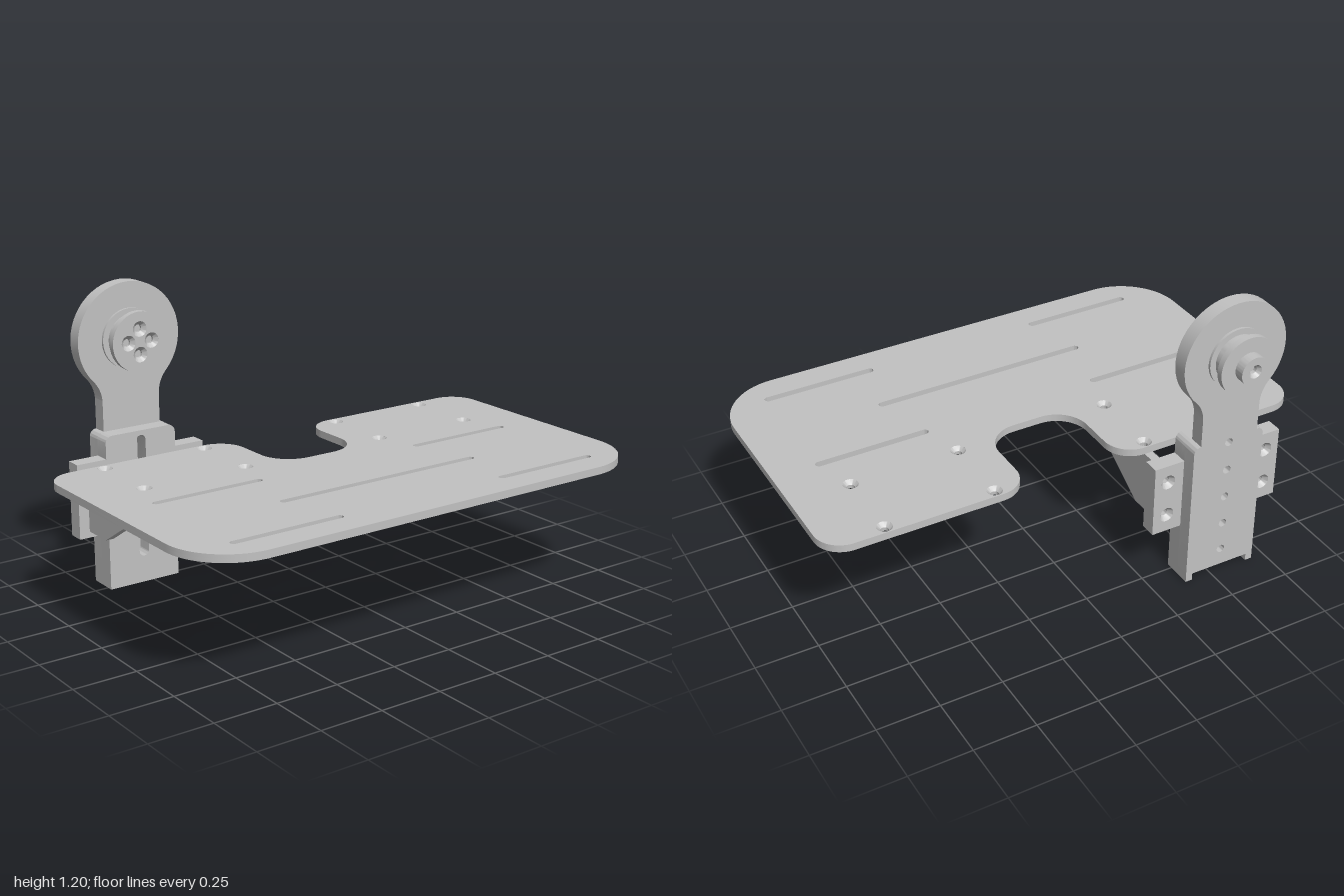
import * as THREE from 'three';
import { toCreasedNormals } from 'three/addons/utils/BufferGeometryUtils.js';

const grey = new THREE.MeshStandardMaterial({ color: 0xc2c2c2 });
grey.name = 'light grey';

function mesh(name, geometry) {
  const m = new THREE.Mesh(toCreasedNormals(geometry, 0.5), grey);
  m.name = name;
  return m;
}

// Outline from [x, y, cornerRadius] points; rounded corners are right angles.
function outline(points) {
  const shape = new THREE.Shape();
  const n = points.length;
  points.forEach(([x, y, r = 0], i) => {
    const p = new THREE.Vector2(x, y);
    const toward = (q, d) => p.clone().add(new THREE.Vector2(q[0] - x, q[1] - y).setLength(d));
    const before = points[(i + n - 1) % n], after = points[(i + 1) % n];
    const a = toward(before, r), b = toward(after, r);
    if (i === 0) shape.moveTo(a.x, a.y);
    else shape.lineTo(a.x, a.y);
    if (r > 0) {
      const c = toward(before, r * 0.448), d = toward(after, r * 0.448);
      shape.bezierCurveTo(c.x, c.y, d.x, d.y, b.x, b.y);
    }
  });
  shape.closePath();
  return shape;
}

function circle(x, y, r, Type = THREE.Path) {
  const p = new Type();
  p.absarc(x, y, r, 0, Math.PI * 2, false);
  return p;
}

// Slot with round ends, between two points on one axis.
function slot(x0, y0, x1, y1, r) {
  const a = Math.atan2(y1 - y0, x1 - x0), q = Math.PI / 2;
  const p = new THREE.Path();
  p.absarc(x1, y1, r, a - q, a + q, false);
  p.absarc(x0, y0, r, a + q, a + 3 * q, false);
  p.closePath();
  return p;
}

function extrude(shape, depth, z = 0) {
  const g = new THREE.ExtrudeGeometry(shape, { depth, bevelEnabled: false, curveSegments: 20 });
  return g.translate(0, 0, z);
}

function lathe(points) {
  const g = new THREE.LatheGeometry(points.map(([r, z]) => new THREE.Vector2(r, z)), 64);
  return g.rotateX(Math.PI / 2);
}

// Plate lying in xy with screw holes countersunk from its +z face.
function countersunkPlate(name, makeShape, holes, screws, depth, sink, big = 0.03, small = 0.015) {
  const group = new THREE.Group();
  group.name = name;
  const layer = (r, d, z) => {
    const s = makeShape();
    s.holes.push(...holes, ...screws.map(([x, y]) => circle(x, y, r)));
    return extrude(s, d, z);
  };
  group.add(mesh(name + 'Base', layer(small, depth - sink, 0)));
  group.add(mesh(name + 'Face', layer(big, sink, depth - sink)));
  for (const [x, y] of screws) {
    const cone = mesh('countersink', lathe([[big, depth], [small, depth - sink]]));
    cone.position.set(x, y, 0);
    group.add(cone);
  }
  return group;
}

export function createModel() {
  const model = new THREE.Group();
  model.name = 'trayWithPulleyArm';

  // Tray plate with rear notch, slots and screw holes
  const trayShape = () => outline([
    [-1, -0.72, 0.25], [1, -0.72, 0.25], [1, 0.4, 0.11], [0.19, 0.4, 0.11],
    [0.19, 0.03, 0.13], [-0.19, 0.03, 0.13], [-0.19, 0.4, 0.11], [-1, 0.4, 0.11],
  ]);
  const slots = [slot(-0.435, -0.345, 0.435, -0.345, 0.015)];
  const trayScrews = [];
  for (const side of [-1, 1]) {
    for (const y of [-0.095, -0.595]) {
      const xs = [side * 0.375, side * 0.81].sort((a, b) => a - b);
      slots.push(slot(xs[0], y, xs[1], y, 0.015));
    }
    for (const x of [0.32, 0.76])
      for (const y of [0.365, 0.075]) trayScrews.push([side * x, y]);
  }
  const tray = countersunkPlate('tray', trayShape, slots, trayScrews, 0.03, 0.015);
  tray.rotation.x = -Math.PI / 2;
  tray.position.y = 0.51;
  model.add(tray);

  // Support assembly, centred on the arm
  const support = new THREE.Group();
  support.name = 'support';
  support.position.x = -0.54;
  model.add(support);

  // Bracket plate with side wings and adjusting slot
  const bracketShape = () => outline([
    [-0.154, 0], [0.154, 0], [0.154, 0.235], [0.28, 0.235], [0.28, 0.535], [0.154, 0.535],
    [0.154, 0.625, 0.03], [-0.154, 0.625, 0.03], [-0.154, 0.535],
    [-0.28, 0.535], [-0.28, 0.235], [-0.154, 0.235],
  ]);
  const wingScrews = [];
  for (const x of [-0.22, 0.22]) for (const y of [0.31, 0.46]) wingScrews.push([x, y]);
  const bracket = countersunkPlate('bracket', bracketShape,
    [slot(0, 0.13, 0, 0.585, 0.021)], wingScrews, 0.065, 0.02);
  bracket.rotation.y = Math.PI;
  bracket.position.z = -0.475;
  support.add(bracket);

  for (const side of [-1, 1]) {
    // Channel walls that guide the arm
    const wallPoints = [[0.125, 0], [0.154, 0], [0.154, 0.625, 0.028], [0.125, 0.625]]
      .map(([x, y, r]) => [side * x, y, r]);
    if (side < 0) wallPoints.reverse();
    support.add(mesh('channelWall', extrude(outline(wallPoints), 0.06, -0.6)));

    // Tapered gusset under the tray
    const gusset = mesh('gusset', extrude(outline([
      [-0.475, 0.26], [-0.35, 0.26], [-0.027, 0.46], [-0.027, 0.51], [-0.475, 0.51],
    ]), 0.035, -0.0175).rotateY(-Math.PI / 2));
    gusset.position.x = side * 0.22;
    support.add(gusset);
  }

  // Sliding arm: drilled neck blending into a round head
  const headY = 0.98, headR = 0.22, neck = 0.125, blend = 0.13;
  const dx = neck + blend;
  const dy = Math.sqrt((headR + blend) ** 2 - dx * dx);
  const angle = Math.atan2(dy, dx);
  const arm = new THREE.Shape();
  arm.moveTo(-neck, 0.03);
  arm.lineTo(neck, 0.03);
  arm.absarc(dx, headY - dy, blend, Math.PI, Math.PI - angle, true);
  arm.absarc(0, headY, headR, -angle, Math.PI + angle, false);
  arm.absarc(-dx, headY - dy, blend, angle, 0, true);
  arm.closePath();
  for (let i = 0; i < 5; i++) arm.holes.push(circle(0, 0.105 + 0.125 * i, 0.017));
  support.add(mesh('arm', extrude(arm, 0.06, -0.6)));

  // Pulley: rear half with axle boss, front half with screwed cap
  const pulley = new THREE.Group();
  pulley.name = 'pulley';
  pulley.position.y = headY;
  pulley.add(mesh('rearPulley', lathe([
    [0, -0.69], [0.015, -0.69], [0.015, -0.705], [0.027, -0.72], [0.058, -0.72], [0.058, -0.68],
    [0.118, -0.68], [0.118, -0.655], [0.094, -0.655], [0.094, -0.61], [0.118, -0.61], [0.118, -0.6],
  ])));
  pulley.add(mesh('frontPulley', lathe([
    [0.118, -0.54], [0.118, -0.53], [0.094, -0.53], [0.094, -0.48], [0, -0.48],
  ])));
  const cap = countersunkPlate('pulleyCap', () => circle(0, 0, 0.118, THREE.Shape), [],
    [[0.05, 0], [-0.05, 0], [0, 0.05], [0, -0.05]], 0.025, 0.015);
  cap.position.z = -0.48;
  pulley.add(cap);
  support.add(pulley);

  return model;
}
